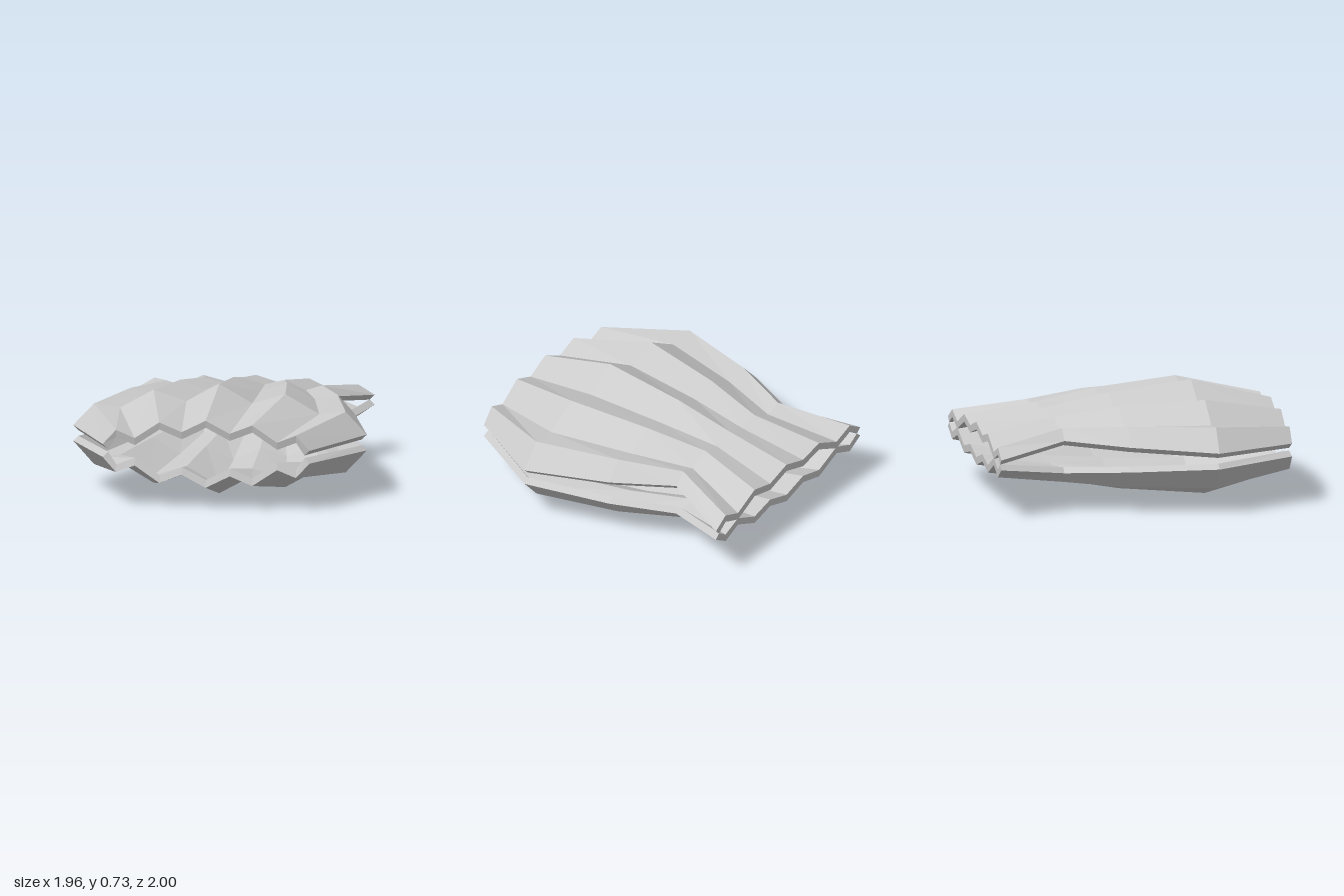
import * as THREE from 'three';

const MID = 0.367; // height of the gap between the two shells
const WALL = 0.05;

// Half cross-sections, front to back: z at the centre and at the side edge,
// then x and height above the gap for each fold from the centre outwards.
const SECTIONS = [
  { z: [1.0, 0.985], x: [0, 0.16, 0.31, 0.475, 0.6, 0.69], h: [0.225, 0.143, 0.203, 0.092, 0.142, 0.043] },
  { z: [0.46, 0.43], x: [0, 0.22, 0.44, 0.665, 0.84, 0.98], h: [0.367, 0.243, 0.312, 0.183, 0.203, 0.053] },
  { z: [-0.1, -0.13], x: [0, 0.18, 0.355, 0.54, 0.69, 0.8], h: [0.303, 0.215, 0.272, 0.17, 0.203, 0.083] },
  { z: [-0.52, -0.53], x: [0, 0.138, 0.27, 0.41, 0.52, 0.6], h: [0.22, 0.175, 0.21, 0.145, 0.18, 0.108] },
  { z: [-0.988, -1.0], x: [0, 0.18, 0.353, 0.54, 0.68, 0.79], h: [0.143, 0.088, 0.13, 0.045, 0.1, 0.033] },
];

// Closed loop of one section: outer folds left to right, inner folds back again
function sectionLoop(s, index) {
  const last = s.x.length - 1;
  const outer = [], inner = [];
  for (let j = -last; j <= last; j++) {
    const k = Math.abs(j), side = Math.sign(j);
    const t = s.x[k] / s.x[last];
    const z = THREE.MathUtils.lerp(s.z[0], s.z[1], t * t);
    const rim = k === last;
    const dz = index === 0 ? -0.012 : 0;
    outer.push([side * s.x[k], s.h[k], z]);
    inner.push([side * (s.x[k] - (rim ? 0.035 : 0)), s.h[k] - (rim ? 0.034 : WALL), z + dz]);
  }
  return outer.concat(inner.reverse());
}

// Folded shell with wall thickness; sign -1 mirrors it below the gap
function shellGeometry(sign) {
  const loops = SECTIONS.map(sectionLoop);
  const n = loops[0].length;
  const positions = [];
  const tri = (a, b, c) => {
    for (const p of sign > 0 ? [a, b, c] : [a, c, b]) positions.push(p[0], MID + sign * p[1], p[2]);
  };
  const quad = (a, b, c, d) => { tri(a, b, c); tri(a, c, d); };

  // Outer skin, inner skin and side edges
  for (let i = 0; i < loops.length - 1; i++) {
    for (let j = 0; j < n; j++) {
      const k = (j + 1) % n;
      quad(loops[i][j], loops[i][k], loops[i + 1][k], loops[i + 1][j]);
    }
  }
  // Front and back rims
  const front = loops[0], back = loops[loops.length - 1];
  for (let j = 0; j < n / 2 - 1; j++) {
    const a = n - 1 - j;
    quad(front[j], front[a], front[a - 1], front[j + 1]);
    quad(back[j + 1], back[a - 1], back[a], back[j]);
  }

  const geometry = new THREE.BufferGeometry();
  geometry.setAttribute('position', new THREE.Float32BufferAttribute(positions, 3));
  geometry.computeVertexNormals();
  return geometry;
}

export function createModel() {
  const group = new THREE.Group();
  group.name = 'foldedShells';
  const material = new THREE.MeshStandardMaterial({ color: 0xcccccc, flatShading: true });
  for (const [name, sign] of [['upperShell', 1], ['lowerShell', -1]]) {
    const shell = new THREE.Mesh(shellGeometry(sign), material);
    shell.name = name;
    group.add(shell);
  }
  return group;
}
